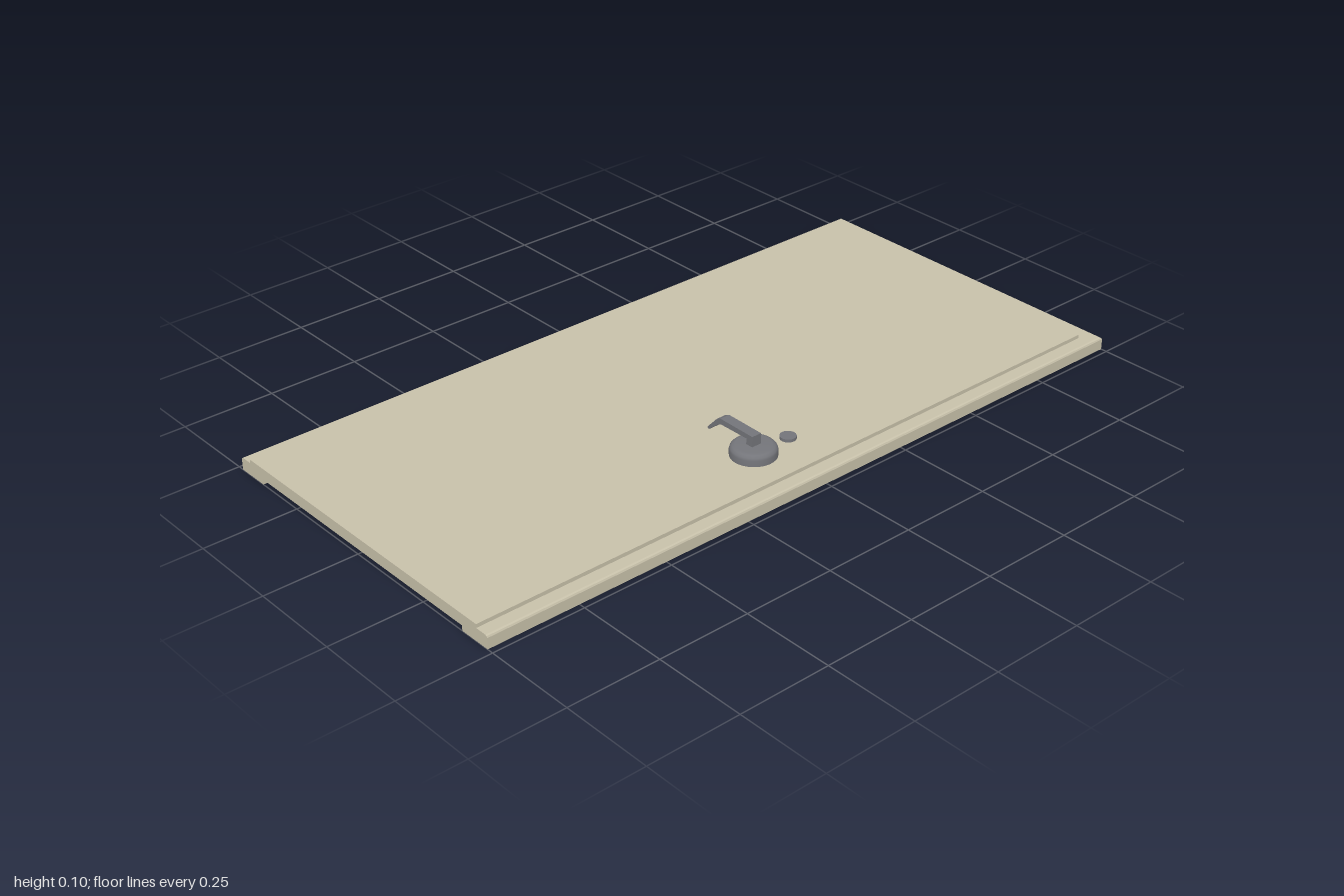
import * as THREE from 'three';

const paint = new THREE.MeshStandardMaterial({ color: 0xc8c1aa });
paint.name = 'beige paint';
const metal = new THREE.MeshStandardMaterial({ color: 0x74757a });
metal.name = 'grey metal';

function add(parent, name, geometry, material, x = 0, y = 0, z = 0) {
  const mesh = new THREE.Mesh(geometry, material);
  mesh.name = name;
  mesh.position.set(x, y, z);
  parent.add(mesh);
  return mesh;
}

// Three-sided frame: one profile swept round two mitred corners, open at -x
function frameGeometry() {
  const profile = [[0, 0], [0, 0.029], [0.002, 0.033], [0.006, 0.035], [0.09, 0.035], [0.09, 0]];
  const stations = [[-1, 1, 0], [1, 1, 1], [1, -1, 1], [-1, -1, 0]];
  const n = profile.length;
  const rings = stations.map(([x, side, mitre]) =>
    profile.map(([inset, y]) => [x - mitre * inset, y, side * (0.483 - inset)]));
  const pos = [];
  const tri = (a, b, c) => pos.push(...a, ...b, ...c);
  for (let i = 0; i < 3; i++) {
    for (let j = 0; j < n; j++) {
      const k = (j + 1) % n;
      tri(rings[i][j], rings[i + 1][j], rings[i + 1][k]);
      tri(rings[i][j], rings[i + 1][k], rings[i][k]);
    }
  }
  // End caps
  for (let j = 1; j < n - 1; j++) {
    tri(rings[0][0], rings[0][j], rings[0][j + 1]);
    tri(rings[3][0], rings[3][j + 1], rings[3][j]);
  }
  const geometry = new THREE.BufferGeometry();
  geometry.setAttribute('position', new THREE.Float32BufferAttribute(pos, 3));
  geometry.computeVertexNormals();
  return geometry;
}

// Lever side profile in (z, y), extruded across its width
function leverGeometry(width) {
  const shape = new THREE.Shape([
    [0.337, 0.07], [0.337, 0.104], [0.225, 0.105], [0.212, 0.099], [0.178, 0.062],
    [0.184, 0.058], [0.217, 0.086], [0.228, 0.09], [0.318, 0.091], [0.315, 0.07],
  ].map(([z, y]) => new THREE.Vector2(z, y)));
  const geometry = new THREE.ExtrudeGeometry(shape, { depth: width, bevelEnabled: false });
  geometry.translate(0, 0, -width / 2);
  geometry.rotateY(-Math.PI / 2);
  return geometry;
}

export function createModel() {
  const model = new THREE.Group();
  model.name = 'door';

  add(model, 'frame', frameGeometry(), paint);

  // Door leaf: core inside the frame and a wider cover over it
  const leaf = new THREE.Group();
  leaf.name = 'doorLeaf';
  model.add(leaf);
  add(leaf, 'leafCore', new THREE.BoxGeometry(1.912, 0.022, 0.788), paint, -0.044, 0.025, 0);
  add(leaf, 'leafCover', new THREE.BoxGeometry(1.95, 0.01, 0.89), paint, -0.025, 0.04, 0);

  // Handle with a rounded rosette
  const handle = new THREE.Group();
  handle.name = 'handle';
  model.add(handle);
  const rosette = [[0.059, 0.044], [0.059, 0.061], [0.057, 0.067], [0.052, 0.072], [0.044, 0.075], [0, 0.076]]
    .map(([r, y]) => new THREE.Vector2(r, y));
  add(handle, 'rosette', new THREE.LatheGeometry(rosette, 32), metal, -0.09, 0, 0.325);
  add(handle, 'lever', leverGeometry(0.028), metal, -0.092, 0, 0);

  // Lock button beside the handle
  add(model, 'lockButton', new THREE.CylinderGeometry(0.021, 0.021, 0.01, 24), metal, 0.023, 0.048, 0.325);

  return model;
}
